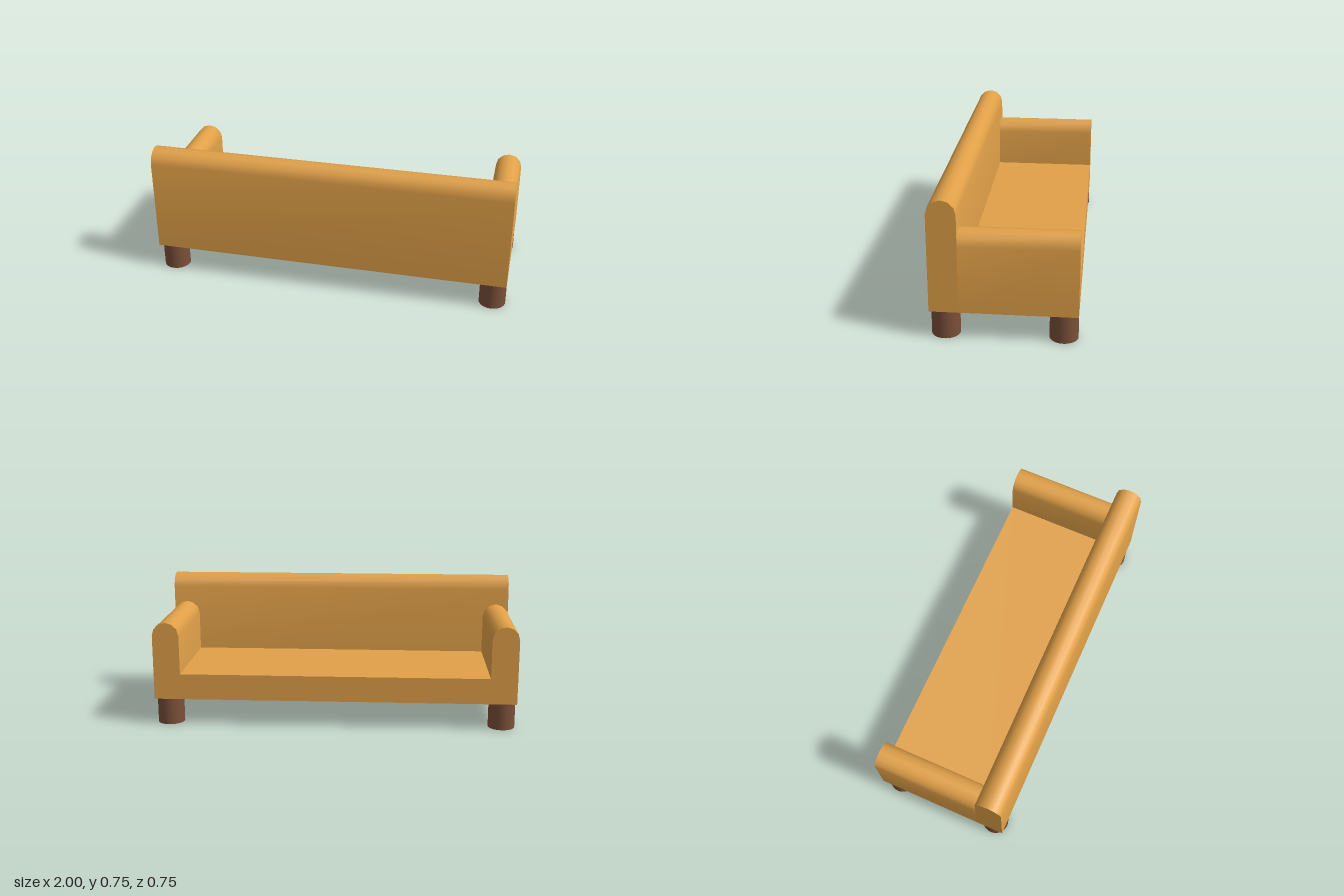
import * as THREE from 'three';
import { toCreasedNormals } from 'three/addons/utils/BufferGeometryUtils.js';

const BASE = 0.149;   // underside of the upholstery
const DEPTH = 0.375;  // half the depth
const BACK = 0.15;    // thickness of the backrest
const ARM = 0.147;    // width of an armrest

// Upright slab with a rounded top, centred along its length
function roundedSlab(width, top, length) {
  const r = width / 2;
  const shape = new THREE.Shape();
  shape.moveTo(-r, BASE);
  shape.lineTo(r, BASE);
  shape.lineTo(r, top - r);
  shape.absarc(0, top - r, r, 0, Math.PI, false);
  shape.lineTo(-r, BASE);
  const geo = new THREE.ExtrudeGeometry(shape, { depth: length, bevelEnabled: false, curveSegments: 3 });
  geo.translate(0, 0, -length / 2);
  return toCreasedNormals(geo, 0.7);
}

export function createModel() {
  const sofa = new THREE.Group();
  sofa.name = 'sofa';
  const fabric = new THREE.MeshStandardMaterial({ color: 0xe0a048 });
  const wood = new THREE.MeshStandardMaterial({ color: 0x7b5039 });

  const add = (name, geo, material, x, y, z) => {
    const mesh = new THREE.Mesh(geo, material);
    mesh.name = name;
    mesh.position.set(x, y, z);
    sofa.add(mesh);
    return mesh;
  };

  // Backrest across the full width
  const backrest = add('backrest', roundedSlab(BACK, 0.747, 2), fabric, 0, 0, DEPTH - BACK / 2);
  backrest.rotation.y = Math.PI / 2;

  // Seat between the armrests
  const seatDepth = 2 * DEPTH - BACK;
  const seatHeight = 0.143;
  add('seat', new THREE.BoxGeometry(2 - 2 * ARM, seatHeight, seatDepth), fabric,
    0, BASE + seatHeight / 2, -BACK / 2);

  // Armrests and legs, mirrored left and right
  const armGeo = roundedSlab(ARM, 0.582, seatDepth);
  const legGeo = new THREE.CylinderGeometry(0.0735, 0.0735, BASE, 32);
  for (const side of [1, -1]) {
    const label = side > 0 ? 'left' : 'right';
    add(label + 'Armrest', armGeo, fabric, side * (1 - ARM / 2), 0, -BACK / 2);
    for (const end of [1, -1]) {
      add(label + (end > 0 ? 'FrontLeg' : 'RearLeg'), legGeo, wood,
        side * 0.9255, BASE / 2, end * 0.3);
    }
  }
  return sofa;
}
